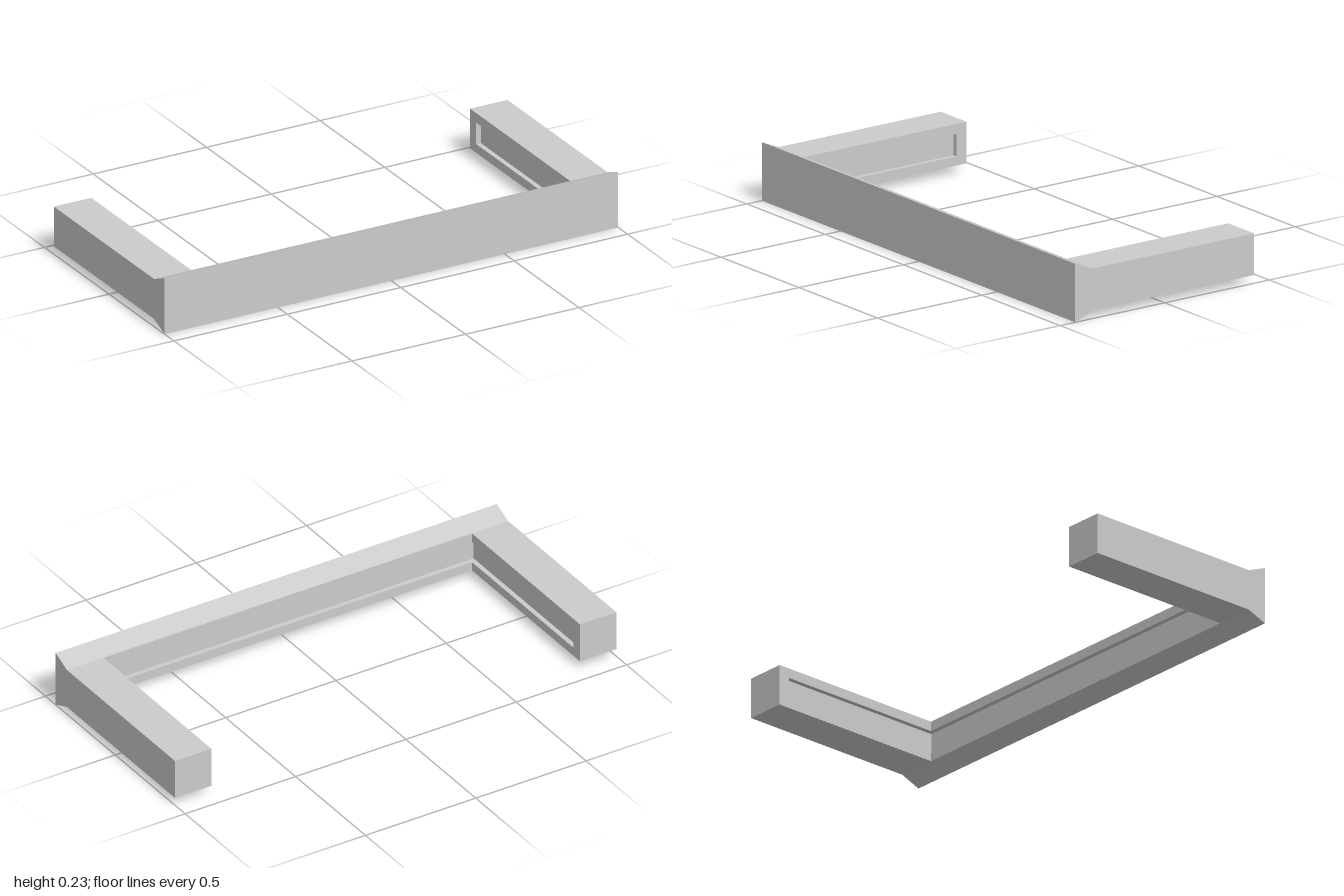
import * as THREE from 'three';

const material = new THREE.MeshStandardMaterial({ color: 0xcccccc, flatShading: true });

// Heights of the arms and of the shallow groove on the inner faces
const LOW = 0.033, HIGH = 0.2, GROOVE_LOW = 0.07, GROOVE_HIGH = 0.16, DEPTH = 0.02;
const FRONT = 0.428, BAR_BACK = 0.346, GROOVE_END = -0.38, INNER = 0.835;

function extrude(points, length) {
  const shape = new THREE.Shape(points.map(([x, y]) => new THREE.Vector2(x, y)));
  return new THREE.ExtrudeGeometry(shape, { depth: length, bevelEnabled: false });
}

function addMesh(parent, name, geometry) {
  const mesh = new THREE.Mesh(geometry, material);
  mesh.name = name;
  parent.add(mesh);
}

// Inner wall from top to bottom at position p, cut by a groove reaching to p + d
function innerWall(p, d, grooved) {
  if (!grooved) return [[p, HIGH], [p, LOW]];
  return [
    [p, HIGH], [p, GROOVE_HIGH], [p + d, GROOVE_HIGH],
    [p + d, GROOVE_LOW], [p, GROOVE_LOW], [p, LOW],
  ];
}

// Piece of the flared front bar between two x positions
function barPiece(x0, x1, grooved) {
  const profile = [...innerWall(-BAR_BACK, -DEPTH, grooved), [-FRONT, 0], [-FRONT, 0.234]];
  return extrude(profile, x1 - x0).rotateY(Math.PI / 2).translate(x0, 0, 0);
}

// Piece of a side arm between two z positions
function armPiece(side, z0, z1, grooved) {
  const profile = [...innerWall(side * INNER, side * DEPTH, grooved), [side, LOW], [side, HIGH]];
  return extrude(profile, z1 - z0).translate(0, 0, z0);
}

export function createModel() {
  const model = new THREE.Group();
  model.name = 'grooved surround';

  // Front bar: the groove runs across the opening, with solid ends
  const corner = INNER + DEPTH;
  const bar = new THREE.Group();
  bar.name = 'frontBar';
  addMesh(bar, 'barMiddle', barPiece(-corner, corner, true));
  addMesh(bar, 'barRightEnd', barPiece(-1, -corner, false));
  addMesh(bar, 'barLeftEnd', barPiece(corner, 1, false));
  model.add(bar);

  // Side arms: the groove stops short of the rear end
  for (const side of [-1, 1]) {
    const arm = new THREE.Group();
    arm.name = side > 0 ? 'leftArm' : 'rightArm';
    addMesh(arm, 'armGroovedLength', armPiece(side, GROOVE_END, BAR_BACK, true));
    addMesh(arm, 'armRearEnd', armPiece(side, -FRONT, GROOVE_END, false));
    model.add(arm);
  }
  return model;
}
